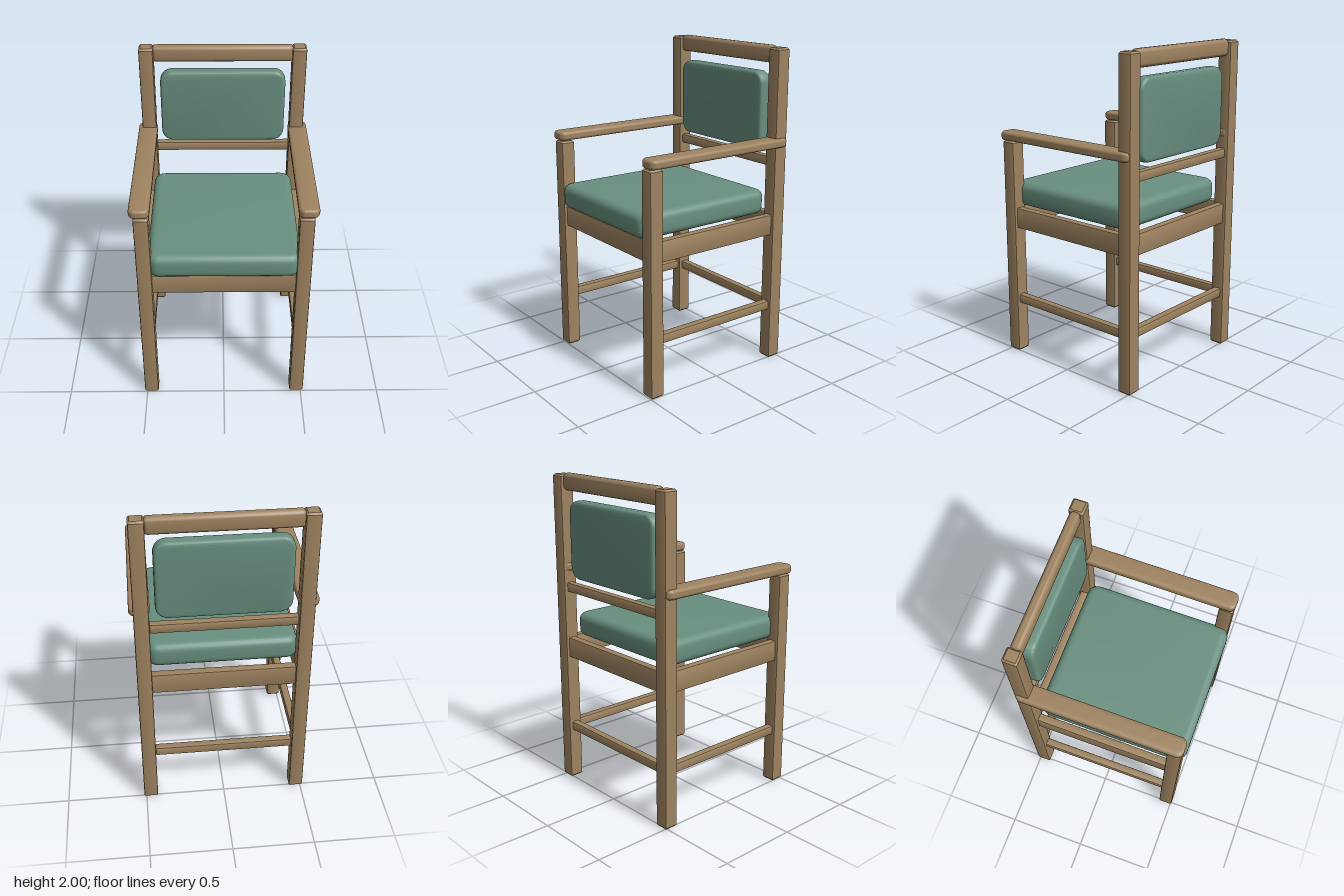
import * as THREE from 'three';
import { toCreasedNormals } from 'three/addons/utils/BufferGeometryUtils.js';

const wood = new THREE.MeshStandardMaterial({ color: 0x9e8360 });
wood.name = 'wood';
const fabric = new THREE.MeshStandardMaterial({ color: 0x688f7f });
fabric.name = 'greenFabric';

// Rounded rectangle (w x h, corner radius r) extruded along z with a bevelled rim, centred
function slab(w, h, depth, r, bevel, steps, curve) {
  const x = w / 2 - bevel, y = h / 2 - bevel, c = Math.max(r - bevel, 0.001);
  const s = new THREE.Shape();
  s.absarc(x - c, y - c, c, 0, Math.PI / 2);
  s.absarc(-x + c, y - c, c, Math.PI / 2, Math.PI);
  s.absarc(-x + c, -y + c, c, Math.PI, Math.PI * 1.5);
  s.absarc(x - c, -y + c, c, Math.PI * 1.5, Math.PI * 2);
  s.closePath();
  const g = new THREE.ExtrudeGeometry(s, {
    depth: depth - 2 * bevel, bevelEnabled: true, bevelThickness: bevel,
    bevelSize: bevel, bevelSegments: steps, curveSegments: curve,
  });
  g.translate(0, 0, bevel - depth / 2);
  return g;
}

export function createModel() {
  const chair = new THREE.Group();
  chair.name = 'armchair';

  const add = (name, geometry, material, x, y, z) => {
    const mesh = new THREE.Mesh(toCreasedNormals(geometry, 0.6), material);
    mesh.name = name;
    mesh.position.set(x, y, z);
    chair.add(mesh);
  };

  // Square timber with small chamfers, running along x, y or z
  const timber = (name, axis, length, a, b, x, y, z, bevel = 0.011) => {
    const g = slab(a, b, length, bevel * 1.1, bevel, 1, 1);
    if (axis === 'y') g.rotateX(-Math.PI / 2);
    if (axis === 'x') g.rotateY(Math.PI / 2);
    add(name, g, wood, x, y, z);
  };

  for (const [side, s] of [['left', 1], ['right', -1]]) {
    // Posts and front legs
    timber(side + 'BackPost', 'y', 1.99, 0.088, 0.09, s * 0.471, 0.995, -0.472);
    timber(side + 'FrontLeg', 'y', 1.385, 0.088, 0.09, s * 0.471, 0.6975, 0.462);
    // Side apron and low stretcher
    timber(side + 'Apron', 'z', 0.87, 0.05, 0.128, s * 0.471, 0.902, -0.005, 0.005);
    timber(side + 'Stretcher', 'z', 0.87, 0.05, 0.058, s * 0.471, 0.363, -0.005);
    // Armrest
    const arm = slab(0.12, 1.025, 0.055, 0.04, 0.018, 4, 6).rotateX(-Math.PI / 2);
    add(side + 'Armrest', arm, wood, s * 0.48, 1.422, 0);
  }

  // Cross pieces
  timber('frontApron', 'x', 0.87, 0.05, 0.128, 0, 0.902, 0.462, 0.005);
  timber('backApron', 'x', 0.87, 0.05, 0.128, 0, 0.902, -0.472, 0.005);
  timber('backStretcher', 'x', 0.87, 0.05, 0.058, 0, 0.363, -0.472);
  timber('lowerBackRail', 'x', 0.87, 0.05, 0.06, 0, 1.295, -0.472);
  add('topRail', slab(0.064, 0.105, 0.864, 0.028, 0.02, 3, 4).rotateY(Math.PI / 2), wood, 0, 1.9475, -0.472);

  // Upholstery
  add('seatCushion', slab(0.9, 0.945, 0.152, 0.07, 0.045, 5, 6).rotateX(-Math.PI / 2), fabric, 0, 1.044, 0.0455);
  add('backPad', slab(0.78, 0.482, 0.085, 0.075, 0.02, 4, 6), fabric, 0, 1.6, -0.453);

  return chair;
}
